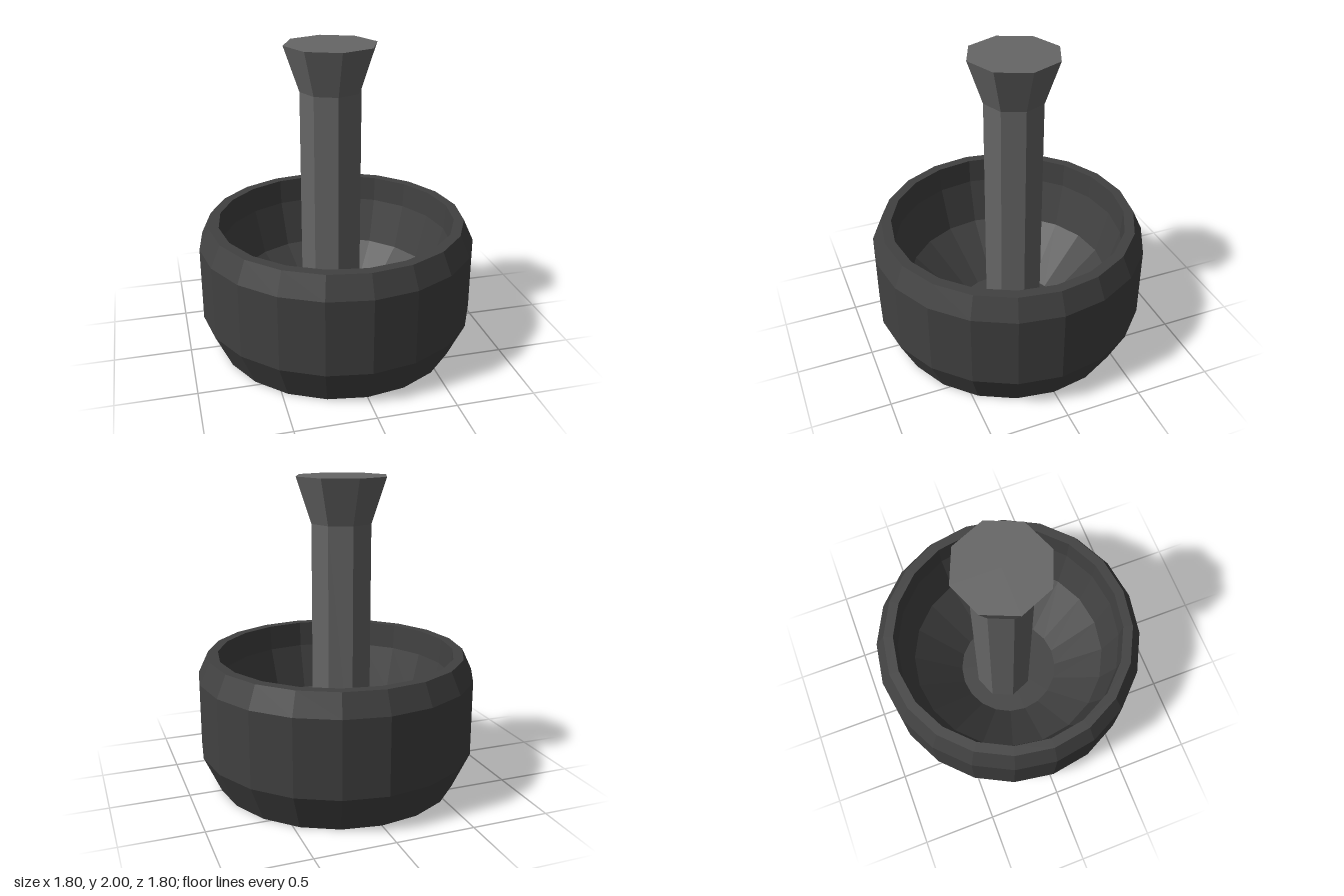
import * as THREE from 'three';

// Faceted solid of revolution from [radius, height] pairs, listed bottom to top outside
function turned(name, profile, sides, color) {
  const points = profile.map(([r, y]) => new THREE.Vector2(r, y));
  const material = new THREE.MeshStandardMaterial({ color, flatShading: true });
  const mesh = new THREE.Mesh(new THREE.LatheGeometry(points, sides), material);
  mesh.name = name;
  return mesh;
}

export function createModel() {
  const model = new THREE.Group();
  model.name = 'mortarAndPestle';

  // Bowl: base, outer wall, flat rim, then the deep hollow down to its floor
  const bowl = turned('mortarBowl', [
    [0, 0], [0.79, 0], [0.9, 0.24], [0.9, 0.73], [0.835, 0.87],
    [0.77, 0.87], [0.76, 0.7], [0.675, 0.4], [0.35, 0.09], [0, 0.09],
  ], 20, 0x414141);

  // Pestle: octagonal shaft with a flared top, standing slightly off centre
  const pestle = turned('pestle', [
    [0, 0.09], [0.2, 0.09], [0.2, 1.71], [0.298, 2], [0, 2],
  ], 8, 0x666666);
  pestle.position.set(-0.022, 0, -0.046);

  model.add(bowl, pestle);
  return model;
}
